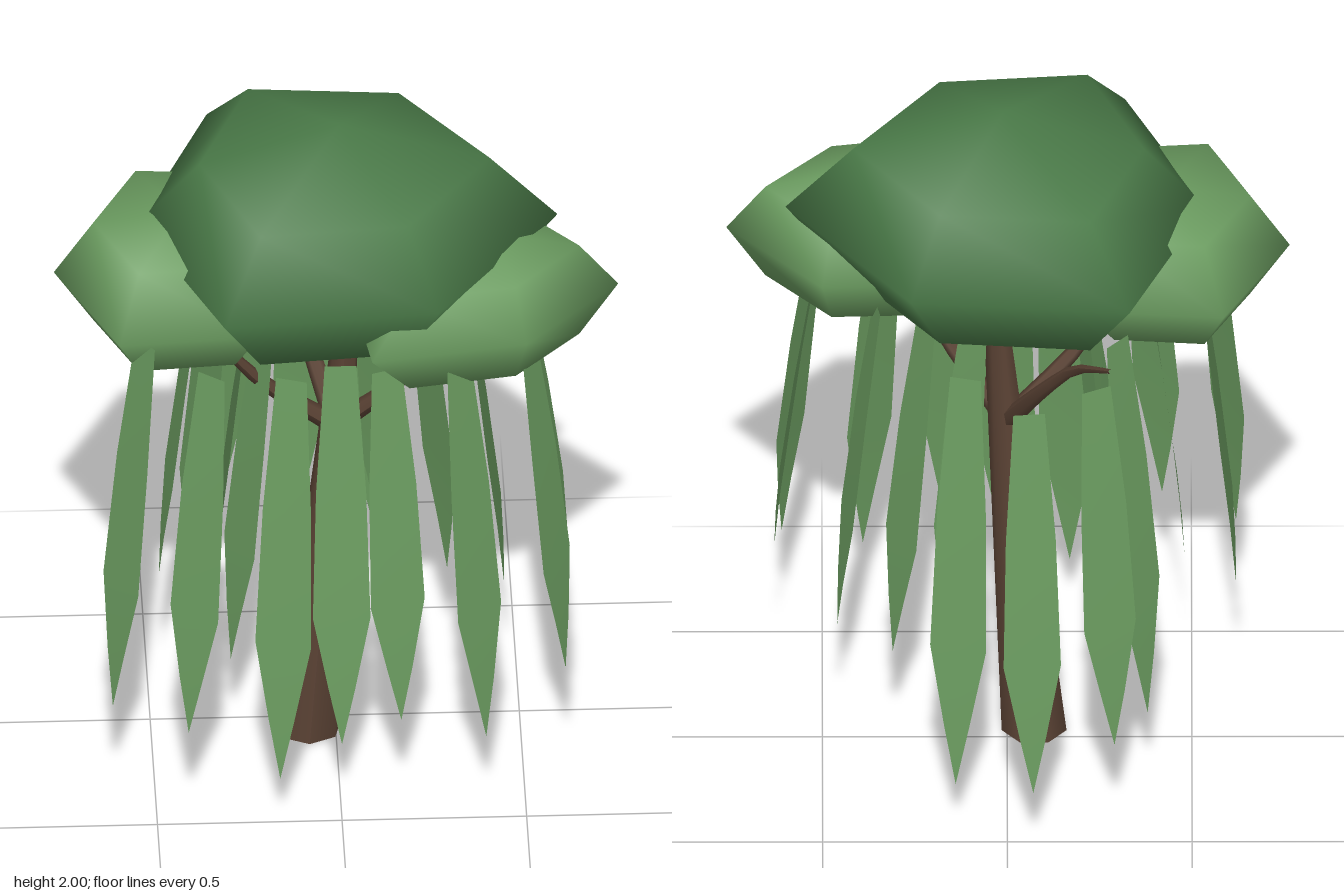
import * as THREE from 'three';

const material = (name, color, side = THREE.FrontSide) => {
  const m = new THREE.MeshStandardMaterial({ color, side });
  m.name = name;
  return m;
};

// Faceted-outline, smooth-shaded crown: centre, six equator corners [x, z] and five heights, top to bottom
function crownGeometry([cx, cz], corners, heights) {
  const n = corners.length;
  const pos = [cx, heights[0], cz];
  [0.69, 1, 0.69].forEach((f, i) => {
    for (const [x, z] of corners) pos.push(cx + (x - cx) * f, heights[i + 1], cz + (z - cz) * f);
  });
  pos.push(cx, heights[4], cz);
  const bottom = 1 + 3 * n;
  const index = [];
  for (let j = 0; j < n; j++) {
    const k = (j + 1) % n;
    index.push(0, 1 + k, 1 + j);
    for (let r = 0; r < 2; r++) {
      const a = 1 + r * n + j, b = 1 + r * n + k;
      index.push(a, b, a + n, b, b + n, a + n);
    }
    index.push(bottom, 1 + 2 * n + j, 1 + 2 * n + k);
  }
  const g = new THREE.BufferGeometry();
  g.setAttribute('position', new THREE.Float32BufferAttribute(pos, 3));
  g.setIndex(index);
  g.computeVertexNormals();
  return g;
}

// Curved branch that thins toward its tip
function branchGeometry(points, r0, r1) {
  const curve = new THREE.CatmullRomCurve3(points.map(p => new THREE.Vector3(...p)));
  const steps = 8, sides = 6;
  const g = new THREE.TubeGeometry(curve, steps, r0, sides, false);
  const p = g.attributes.position;
  const v = new THREE.Vector3();
  for (let i = 0; i <= steps; i++) {
    const centre = curve.getPointAt(i / steps);
    const f = 1 + (r1 / r0 - 1) * (i / steps);
    for (let j = 0; j <= sides; j++) {
      const k = i * (sides + 1) + j;
      v.fromBufferAttribute(p, k).sub(centre).multiplyScalar(f).add(centre);
      p.setXYZ(k, v.x, v.y, v.z);
    }
  }
  g.computeVertexNormals();
  return g;
}

// Flat hanging leaf blade, leaning outward from the trunk axis down to its tip
function strandGeometry([x, y, z], topY) {
  const out = new THREE.Vector2(x, z - 0.05).normalize();
  const rows = [[0, 0.043], [0.33, 0.068], [0.66, 0.078], [0.85, 0.036], [1, 0]];
  const pos = [], index = [];
  rows.forEach(([t, w], i) => {
    const lean = -0.11 * (1 - t) ** 1.3;
    const px = x + out.x * lean, pz = z + out.y * lean, py = topY + (y - topY) * t;
    pos.push(px - out.y * w, py, pz + out.x * w, px + out.y * w, py, pz - out.x * w);
    if (i < rows.length - 1) {
      const a = 2 * i;
      index.push(a, a + 2, a + 1);
      // the last row is a point, so one triangle closes the tip
      if (i < rows.length - 2) index.push(a + 1, a + 2, a + 3);
    }
  });
  const g = new THREE.BufferGeometry();
  g.setAttribute('position', new THREE.Float32BufferAttribute(pos, 3));
  g.setIndex(index);
  g.computeVertexNormals();
  return g;
}

export function createModel() {
  const bark = material('bark brown', 0x5a4234);
  const darkLeaf = material('dark leaf green', 0x4a7a48);
  const lightLeaf = material('light leaf green', 0x6b9c60);
  const strandLeaf = material('strand leaf green', 0x6b9c60, THREE.DoubleSide);

  const tree = new THREE.Group();
  tree.name = 'weepingTree';
  const add = (name, geometry, mat, parent = tree) => {
    const mesh = new THREE.Mesh(geometry, mat);
    mesh.name = name;
    parent.add(mesh);
  };

  // Leaning, tapered trunk
  const trunk = new THREE.CylinderGeometry(0.036, 0.09, 1.3, 7, 1);
  trunk.translate(0, 0.65, 0);
  const p = trunk.attributes.position;
  for (let i = 0; i < p.count; i++) {
    const t = p.getY(i) / 1.3;
    p.setX(i, p.getX(i) - 0.073 + 0.1 * t);
    p.setZ(i, p.getZ(i) * 0.95 + 0.05 + 0.01 * t);
  }
  trunk.computeVertexNormals();
  add('trunk', trunk, bark);

  // Three branches
  const start = [0, 1.0, 0.06];
  const branches = new THREE.Group();
  branches.name = 'branches';
  tree.add(branches);
  [
    [start, [-0.2, 1.2, 0.14], [-0.31, 1.36, 0.2], [-0.42, 1.5, 0.24]],
    [start, [0.17, 1.21, 0.16], [0.26, 1.36, 0.22], [0.36, 1.5, 0.26]],
    [start, [-0.1, 1.24, -0.14], [-0.18, 1.38, -0.25], [-0.28, 1.51, -0.445]],
  ].forEach(path => add('branch', branchGeometry(path, 0.029, 0.007), bark, branches));

  // Crown: one big dark mass and two lighter side masses
  add('mainCrown', crownGeometry([0.01, 0.08],
    [[0.6, 0.08], [0.26, 0.54], [-0.32, 0.59], [-0.54, 0.08], [-0.33, -0.43], [0.26, -0.38]],
    [2, 1.88, 1.69, 1.46, 1.38]), darkLeaf);
  add('rightCrown', crownGeometry([-0.42, 0.1],
    [[-0.04, 0.1], [-0.22, 0.43], [-0.6, 0.46], [-0.765, 0.1], [-0.585, -0.25], [-0.23, -0.22]],
    [1.74, 1.71, 1.55, 1.39, 1.32]), lightLeaf);
  add('leftCrown', crownGeometry([0.42, 0.21],
    [[0.76, 0.2], [0.5, 0.48], [0.08, 0.55], [0.03, 0.2], [0.22, -0.08], [0.5, -0.09]],
    [1.72, 1.67, 1.54, 1.38, 1.32]), lightLeaf);

  // Hanging strands: tip position and top height
  const strands = new THREE.Group();
  strands.name = 'hangingStrands';
  tree.add(strands);
  [
    [0.14, 0.19, -0.5, 1.45], [-0.07, 0.25, -0.63, 1.42], [-0.29, 0.34, -0.53, 1.44],
    [-0.38, 0.28, -0.29, 1.45], [-0.33, 0.37, -0.03, 1.44], [-0.29, 0.34, 0.21, 1.4],
    [-0.48, 0.54, 0.09, 1.5], [-0.62, 0.38, 0.18, 1.5], [-0.62, 0.38, 0.48, 1.53],
    [-0.42, 0.38, 0.615, 1.49], [-0.17, 0.19, 0.57, 1.43], [0, 0.25, 0.5, 1.42],
    [0.16, 0.34, 0.52, 1.42], [0.39, 0.28, 0.52, 1.44], [0.61, 0.41, 0.39, 1.43],
    [0.63, 0.53, 0.15, 1.43], [0.46, 0.4, -0.04, 1.43], [0.31, 0.38, -0.14, 1.45],
    [0.16, 0.36, -0.12, 1.44],
  ].forEach(([x, y, z, top]) => add('strand', strandGeometry([x, y, z], top), strandLeaf, strands));

  return tree;
}
